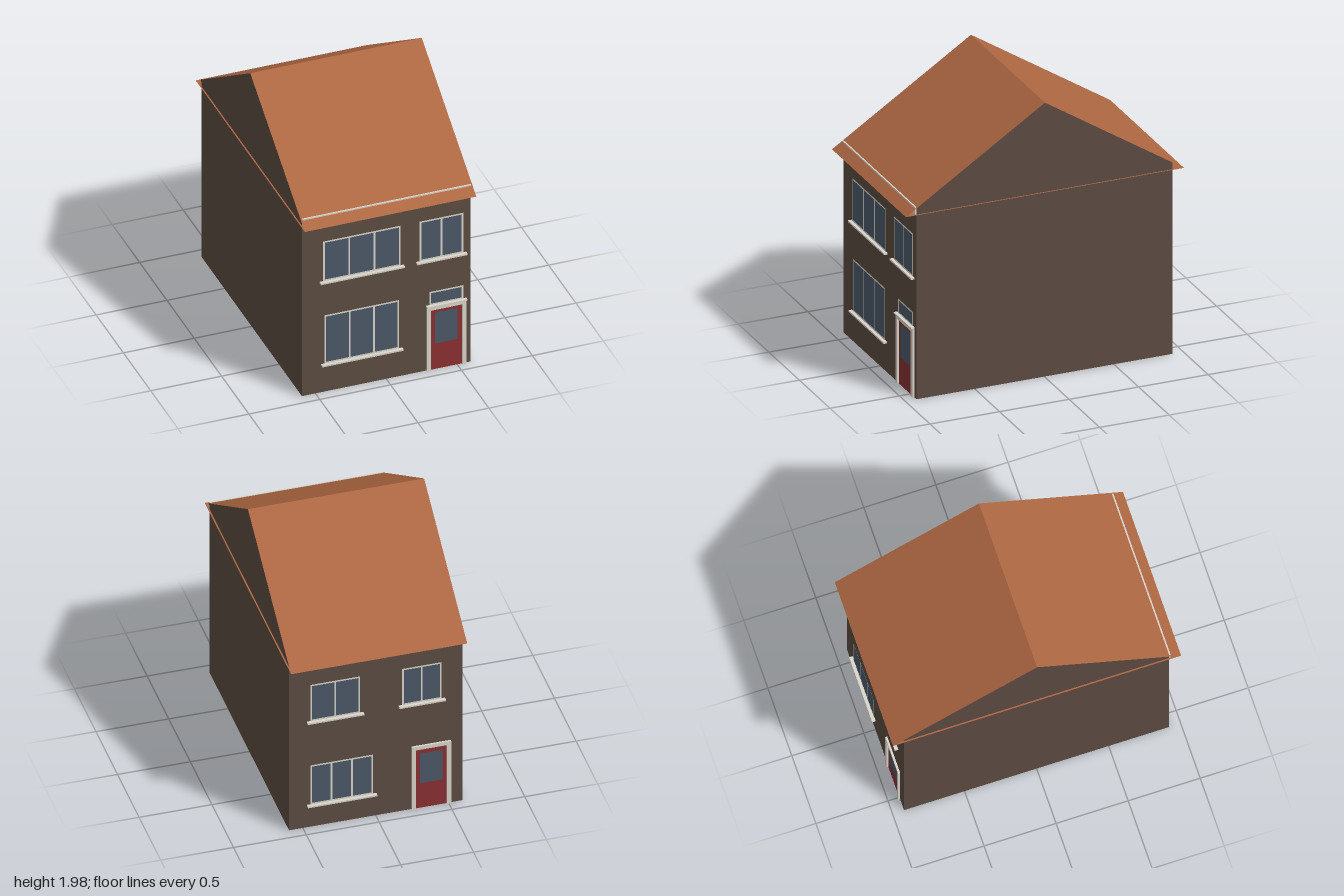
import * as THREE from 'three';

const W = 0.595, D = 0.92, EAVE = 1.38, RIDGE = 1.975, ROOF_W = 0.605;
const SLOPE = (RIDGE - EAVE) / D, ROOF_BASE = RIDGE - SLOPE;
const mat = (color, side = THREE.FrontSide) =>
  new THREE.MeshStandardMaterial({ color, side, flatShading: true });
const brick = mat(0x5d4c42, THREE.DoubleSide), tile = mat(0xae6742, THREE.DoubleSide);
const white = mat(0xdad6cc), glass = mat(0x4c5969), red = mat(0x8b3032);

function add(parent, name, geometry, material) {
  const mesh = new THREE.Mesh(geometry, material);
  mesh.name = name;
  parent.add(mesh);
  return mesh;
}

// Box given by its extents
function box(parent, name, material, x0, x1, y0, y1, z0, z1) {
  add(parent, name, new THREE.BoxGeometry(x1 - x0, y1 - y0, z1 - z0), material)
    .position.set((x0 + x1) / 2, (y0 + y1) / 2, (z0 + z1) / 2);
}

// Flat pane facing +z given by its extents
function pane(parent, name, material, x0, x1, y0, y1, z) {
  add(parent, name, new THREE.PlaneGeometry(x1 - x0, y1 - y0), material)
    .position.set((x0 + x1) / 2, (y0 + y1) / 2, z);
}

const rect = (x0, x1, y0, y1) => [[x0, y0], [x1, y0], [x1, y1], [x0, y1]]
  .map(([x, y]) => new THREE.Vector2(x, y));

// Flat window frame with one opening per light, plus an optional projecting sill
function addWindow(parent, name, x0, x1, y0, y1, lights, sill = true) {
  const g = new THREE.Group();
  g.name = name;
  const t = 0.012, step = (x1 - x0 - t) / lights;
  const frame = new THREE.Shape(rect(x0, x1, y0, y1));
  for (let i = 0; i < lights; i++) {
    const x = x0 + t + i * step;
    frame.holes.push(new THREE.Path(rect(x, x + step - t, y0 + t, y1 - t)));
  }
  add(g, 'frame', new THREE.ShapeGeometry(frame), white).position.z = D + 0.003;
  pane(g, 'glass', glass, x0 + 0.004, x1 - 0.004, y0 + 0.004, y1 - 0.004, D + 0.0015);
  if (sill) box(g, 'sill', white, x0 - 0.023, x1 + 0.023, y0 - 0.012, y0, D, D + 0.025);
  parent.add(g);
}

// Glazed door inside a raised surround
function addDoor(parent, x0, x1, top) {
  const g = new THREE.Group();
  g.name = 'door';
  const t = 0.028, z1 = D + 0.014, c = (x0 + x1) / 2;
  box(g, 'jambLeft', white, x0, x0 + t, 0, top, D, z1);
  box(g, 'jambRight', white, x1 - t, x1, 0, top, D, z1);
  box(g, 'doorHead', white, x0 + t, x1 - t, top - t, top, D, z1);
  pane(g, 'doorLeaf', red, x0 + t, x1 - t, 0, top - t, D + 0.002);
  pane(g, 'doorGlass', glass, c - 0.078, c + 0.078, 0.2, 0.44, D + 0.004);
  parent.add(g);
}

export function createModel() {
  const house = new THREE.Group();
  house.name = 'house';

  // Thin walls, open at the bottom; gables flush with the roof edges
  const gable = new THREE.Shape([
    new THREE.Vector2(-D, EAVE), new THREE.Vector2(D, EAVE), new THREE.Vector2(0, RIDGE),
  ]);
  for (const s of [1, -1]) {
    const endWall = add(house, s > 0 ? 'frontWall' : 'backWall',
      new THREE.PlaneGeometry(2 * W, EAVE), brick);
    endWall.position.set(0, EAVE / 2, s * D);
    endWall.rotation.y = s > 0 ? 0 : Math.PI;

    const sideWall = add(house, s > 0 ? 'leftWall' : 'rightWall',
      new THREE.PlaneGeometry(2 * D, EAVE), brick);
    sideWall.position.set(s * W, EAVE / 2, 0);
    sideWall.rotation.y = s * Math.PI / 2;

    const gableWall = add(house, s > 0 ? 'leftGable' : 'rightGable',
      new THREE.ShapeGeometry(gable), brick);
    gableWall.position.x = s * (ROOF_W - 0.001);
    gableWall.rotation.y = s * Math.PI / 2;

    // Roof slope overhanging the wall
    const geo = new THREE.PlaneGeometry(2 * ROOF_W, Math.hypot(1, SLOPE));
    geo.rotateX(-Math.PI / 2 + Math.atan(SLOPE)).translate(0, RIDGE - SLOPE / 2, 0.5);
    add(house, s > 0 ? 'frontRoof' : 'backRoof', geo, tile).rotation.y = s > 0 ? 0 : Math.PI;
  }

  // Flat underside closing the roof at eaves level
  const soffit = add(house, 'soffit', new THREE.PlaneGeometry(2 * ROOF_W, 2), tile);
  soffit.rotation.x = Math.PI / 2;
  soffit.position.y = ROOF_BASE;

  // Front facade
  const front = new THREE.Group();
  front.name = 'frontFacade';
  addWindow(front, 'upperWideWindow', -0.447, 0.1, 0.862, 1.172, 3);
  addWindow(front, 'upperSmallWindow', 0.234, 0.542, 0.862, 1.172, 2);
  addWindow(front, 'lowerWindow', -0.437, 0.09, 0.219, 0.595, 3);
  addWindow(front, 'transomWindow', 0.303, 0.542, 0.503, 0.608, 1, false);
  addDoor(front, 0.283, 0.561, 0.495);
  box(front, 'doorCap', white, 0.28, 0.564, 0.495, 0.505, D, D + 0.025);
  box(front, 'gutter', white, -W, W, ROOF_BASE + 0.002, EAVE + 0.003, D, D + 0.01);

  // Back facade, laid out as seen from behind
  const back = new THREE.Group();
  back.name = 'backFacade';
  back.rotation.y = Math.PI;
  addWindow(back, 'upperLeftWindow', -0.45, -0.108, 0.86, 1.155, 2);
  addWindow(back, 'upperRightWindow', 0.18, 0.452, 0.86, 1.155, 2);
  addWindow(back, 'lowerWindow', -0.45, -0.018, 0.182, 0.5, 3);
  addDoor(back, 0.245, 0.515, 0.508);

  house.add(front, back);
  return house;
}
